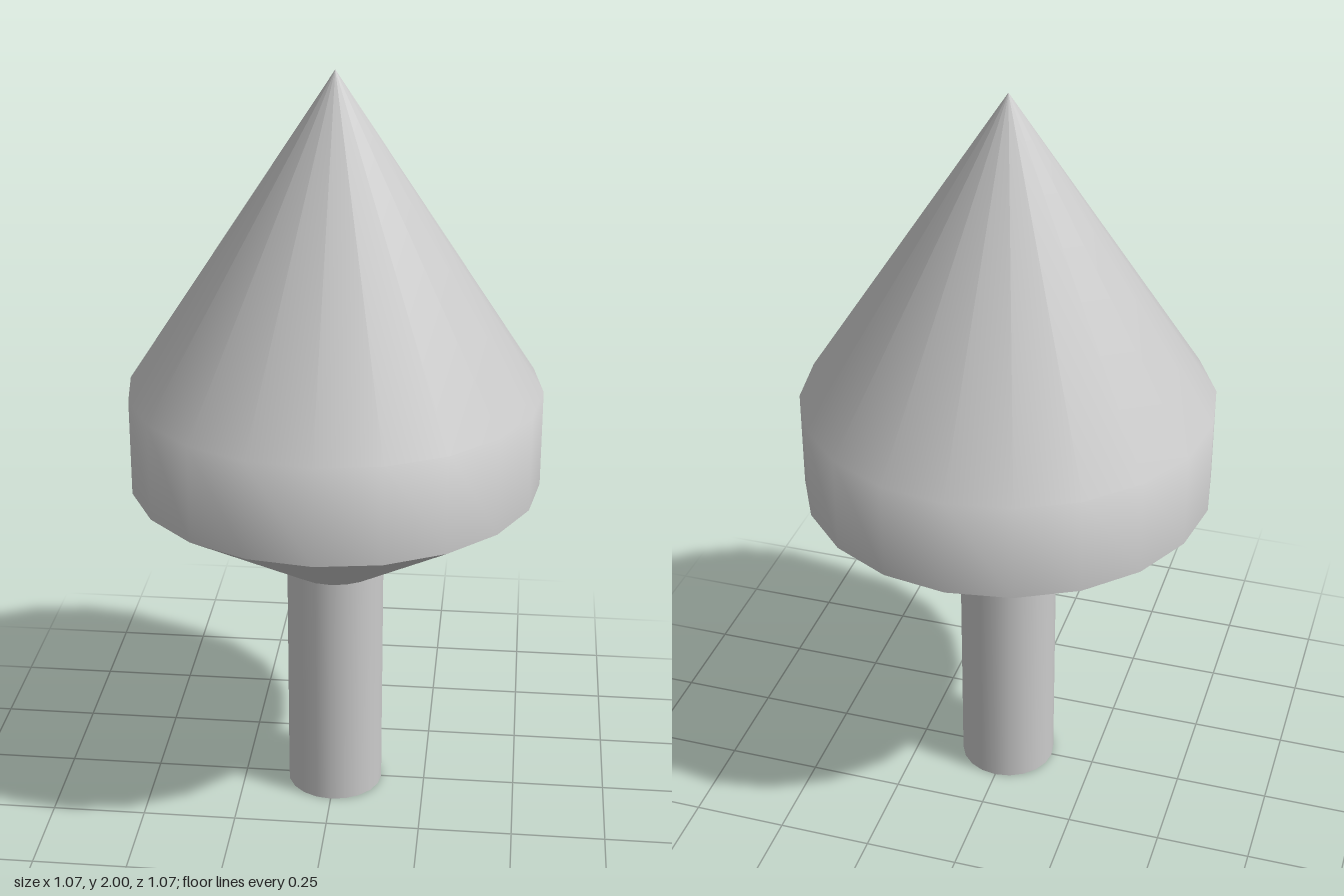
import * as THREE from 'three';

const SIDES = 20;
const material = new THREE.MeshStandardMaterial({ color: 0xcccccc });

// Turned surface, smooth along its profile; separate calls keep a sharp edge between them
function turned(name, profile) {
  const points = profile.map(([r, y]) => new THREE.Vector2(r, y));
  const mesh = new THREE.Mesh(new THREE.LatheGeometry(points, SIDES), material);
  mesh.name = name;
  return mesh;
}

export function createModel() {
  const model = new THREE.Group();
  model.name = 'conicalPoint';

  const shankRadius = 0.13, headRadius = 0.537;
  const neckY = 0.664, rimY = 0.922, shoulderY = 1.18, tipY = 2;

  // Shank with closed foot
  const shank = new THREE.Group();
  shank.name = 'shank';
  shank.add(
    turned('shankFoot', [[0, 0], [shankRadius, 0]]),
    turned('shankSide', [[shankRadius, 0], [shankRadius, neckY]])
  );

  // Head: flared underside, then a straight band blending into the pointed cone
  const head = new THREE.Group();
  head.name = 'head';
  head.add(
    turned('headUnderside', [[shankRadius, neckY], [headRadius, rimY]]),
    turned('headBandAndTip', [[headRadius, rimY], [headRadius, shoulderY], [0, tipY]])
  );

  model.add(shank, head);
  return model;
}
